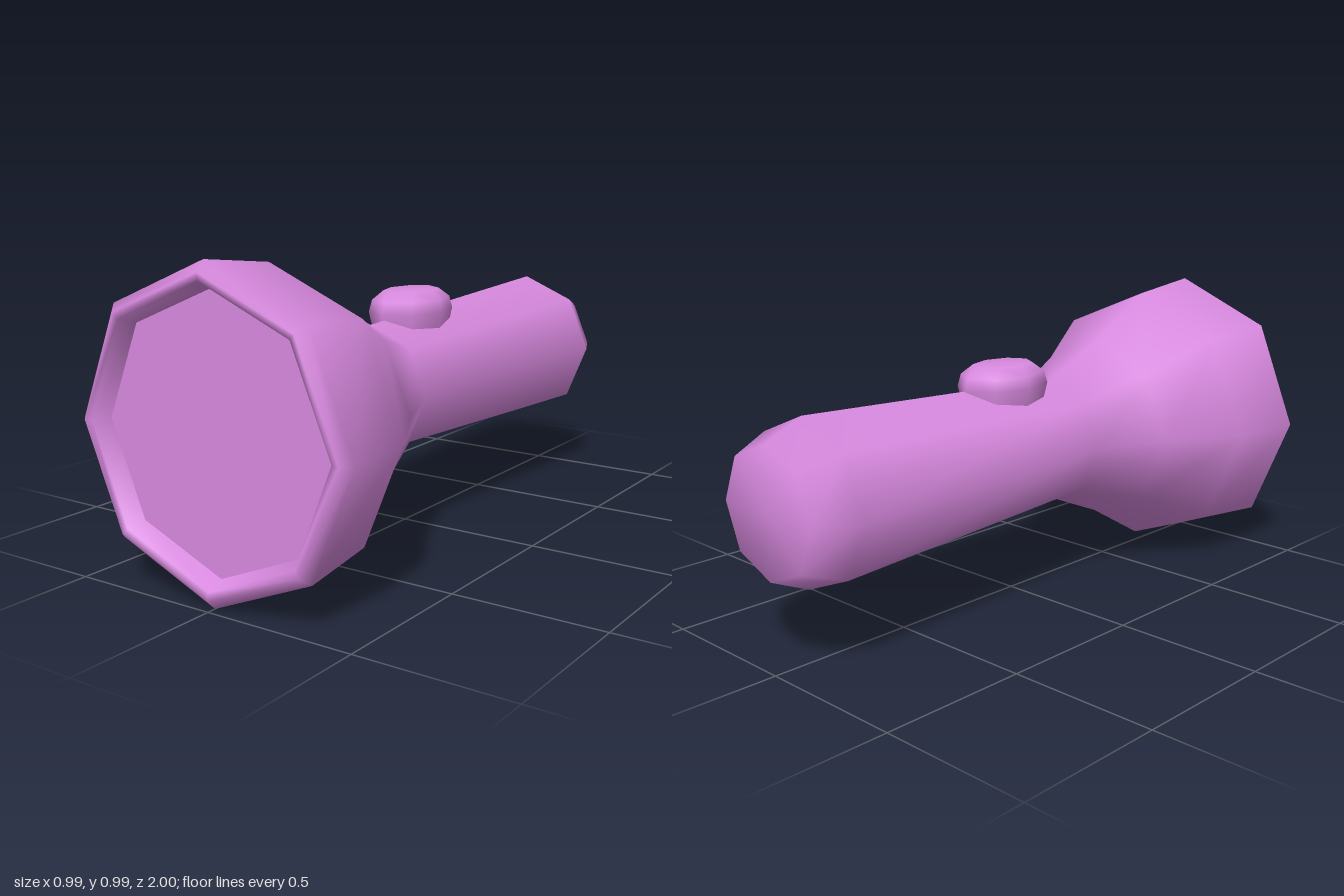
import * as THREE from 'three';

// Eight-sided smooth lathe from [radius, height] pairs, listed upwards
function octLathe(pairs) {
  return new THREE.LatheGeometry(pairs.map(([r, h]) => new THREE.Vector2(r, h)), 8);
}

export function createModel() {
  const group = new THREE.Group();
  const plastic = new THREE.MeshStandardMaterial({ color: 0xd98ae0 });
  plastic.name = 'orchid plastic';

  const add = (name, geometry) => {
    const mesh = new THREE.Mesh(geometry, plastic);
    mesh.name = name;
    group.add(mesh);
    return mesh;
  };

  // Handle, flared head and rim, turned from back to front
  const body = add('body', octLathe([
    [0, -1], [0.205, -1], [0.265, -0.865],
    [0.215, 0.2], [0.32, 0.45], [0.465, 0.7],
    [0.497, 0.97], [0.465, 1], [0.44, 0.995], [0.417, 0.94],
  ]));
  body.rotation.x = Math.PI / 2;
  body.position.y = 0.5;

  // Flat lens set back inside the rim
  const lens = add('lens', new THREE.CircleGeometry(0.417, 8));
  lens.position.set(0, 0.5, 0.94);

  // Oval switch on top of the handle
  const button = add('switchButton', octLathe([
    [0.155, 0.66], [0.175, 0.735], [0.162, 0.775], [0.115, 0.805], [0, 0.805],
  ]));
  button.scale.x = 0.71;
  button.position.set(-0.005, 0, -0.045);

  return group;
}
